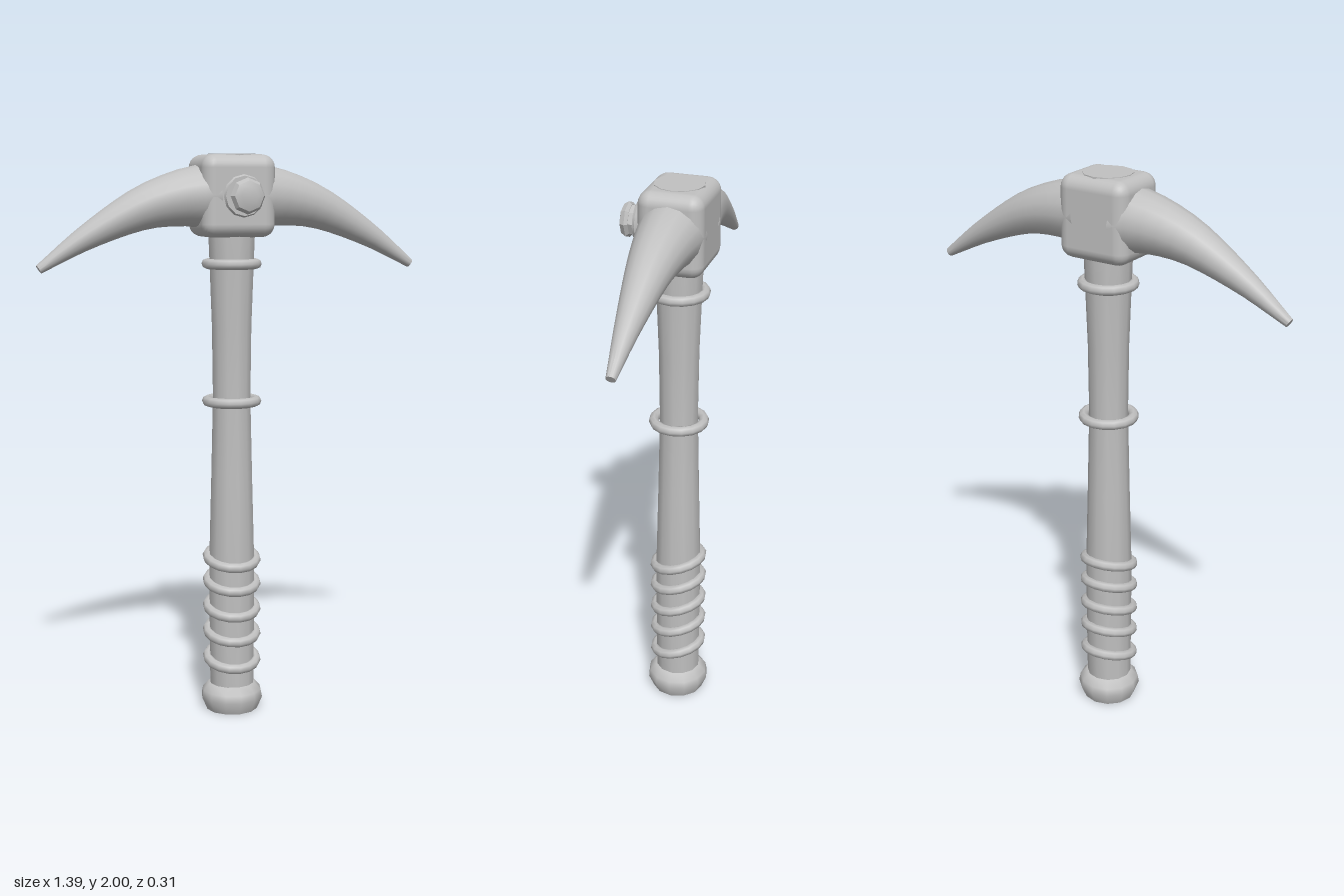
import * as THREE from 'three';
import { toCreasedNormals } from 'three/addons/utils/BufferGeometryUtils.js';
import { RoundedBoxGeometry } from 'three/addons/geometries/RoundedBoxGeometry.js';

const grey = new THREE.MeshStandardMaterial({ color: 0xc0c0c0 });
grey.name = 'grey';

const AXIS_Z = -0.042; // the handle sits slightly behind the centre
const BOLT_Y = 1.857;

export function createModel() {
  const model = new THREE.Group();
  model.name = 'pickaxe';
  const tool = new THREE.Group();
  tool.name = 'tool';
  tool.position.z = AXIS_Z;
  model.add(tool);

  const add = (name, geometry, parent = tool) => {
    const mesh = new THREE.Mesh(geometry, grey);
    mesh.name = name;
    parent.add(mesh);
    return mesh;
  };
  const lathe = (points, sides, crease = 0.7) => toCreasedNormals(
    new THREE.LatheGeometry(points.map(([r, y]) => new THREE.Vector2(r, y)), sides), crease);

  // Waisted handle, running right through the head
  add('handle', lathe([[0, 0.05], [0.08, 0.05], [0.082, 0.3], [0.083, 0.55], [0.075, 0.85],
    [0.068, 1.15], [0.071, 1.4], [0.079, 1.62], [0.086, 1.8], [0.086, 2], [0, 2]], 12));

  // Rounded knob at the foot
  add('pommel', lathe([[0, 0], [0.094, 0], [0.113, 0.045], [0.108, 0.072], [0.085, 0.097], [0, 0.097]], 12, 0.9));

  // Level collars, and tilted grip rings that are lower at the front
  const addRing = (name, y, tilt) => {
    const ring = add(name, new THREE.TorusGeometry(0.088, 0.018, 8, 16).rotateX(Math.PI / 2));
    ring.position.y = y;
    ring.rotation.x = tilt;
  };
  [1.622, 1.137].forEach((y) => addRing('collar', y, 0));
  [0.565, 0.477, 0.382, 0.29, 0.19].forEach((y) => addRing('gripRing', y, 0.25));

  // Rounded head block
  add('headBlock', new RoundedBoxGeometry(0.265, 0.283, 0.225, 3, 0.045)).position.y = 1.8565;

  // Tapered spikes: a cone of sections bent along a drooping curve
  const curve = new THREE.CatmullRomCurve3([[0.07, 1.858], [0.18, 1.85], [0.315, 1.818],
    [0.513, 1.722], [0.685, 1.613]].map(([x, y]) => new THREE.Vector3(x, y, 0)));
  const steps = 12;
  const profile = [new THREE.Vector2(0, 0)];
  for (let i = 0; i <= steps; i++) {
    const s = i / steps;
    const along = (curve.getPointAt(s).x - 0.07) / 0.615;
    profile.push(new THREE.Vector2(0.116 - 0.1 * along, s));
  }
  profile.push(new THREE.Vector2(0, 1));
  const bent = new THREE.LatheGeometry(profile, 16);
  const pos = bent.attributes.position;
  for (let i = 0; i < pos.count; i++) {
    const s = THREE.MathUtils.clamp(pos.getY(i), 0, 1);
    const p = curve.getPointAt(s);
    const t = curve.getTangentAt(s);
    const r = pos.getX(i);
    pos.setXYZ(i, p.x + t.y * r, p.y - t.x * r, pos.getZ(i));
  }
  const spike = toCreasedNormals(bent, 0.7);
  add('leftSpike', spike);
  add('rightSpike', spike).rotation.y = Math.PI;

  // Bolt on the front of the head: washer, neck and domed cap
  const bolt = new THREE.Group();
  bolt.name = 'bolt';
  bolt.position.y = BOLT_Y;
  bolt.rotation.x = Math.PI / 2;
  model.add(bolt);
  add('washer', lathe([[0, 0.06], [0.045, 0.068], [0.073, 0.092], [0.068, 0.101], [0, 0.101]], 12), bolt);
  add('boltNeck', lathe([[0, 0.095], [0.05, 0.095], [0.05, 0.132], [0, 0.132]], 8), bolt);
  add('boltCap', lathe([[0, 0.122], [0.052, 0.122], [0.062, 0.132], [0.052, 0.149], [0.03, 0.156], [0, 0.156]], 8, 0.4), bolt);

  return model;
}
